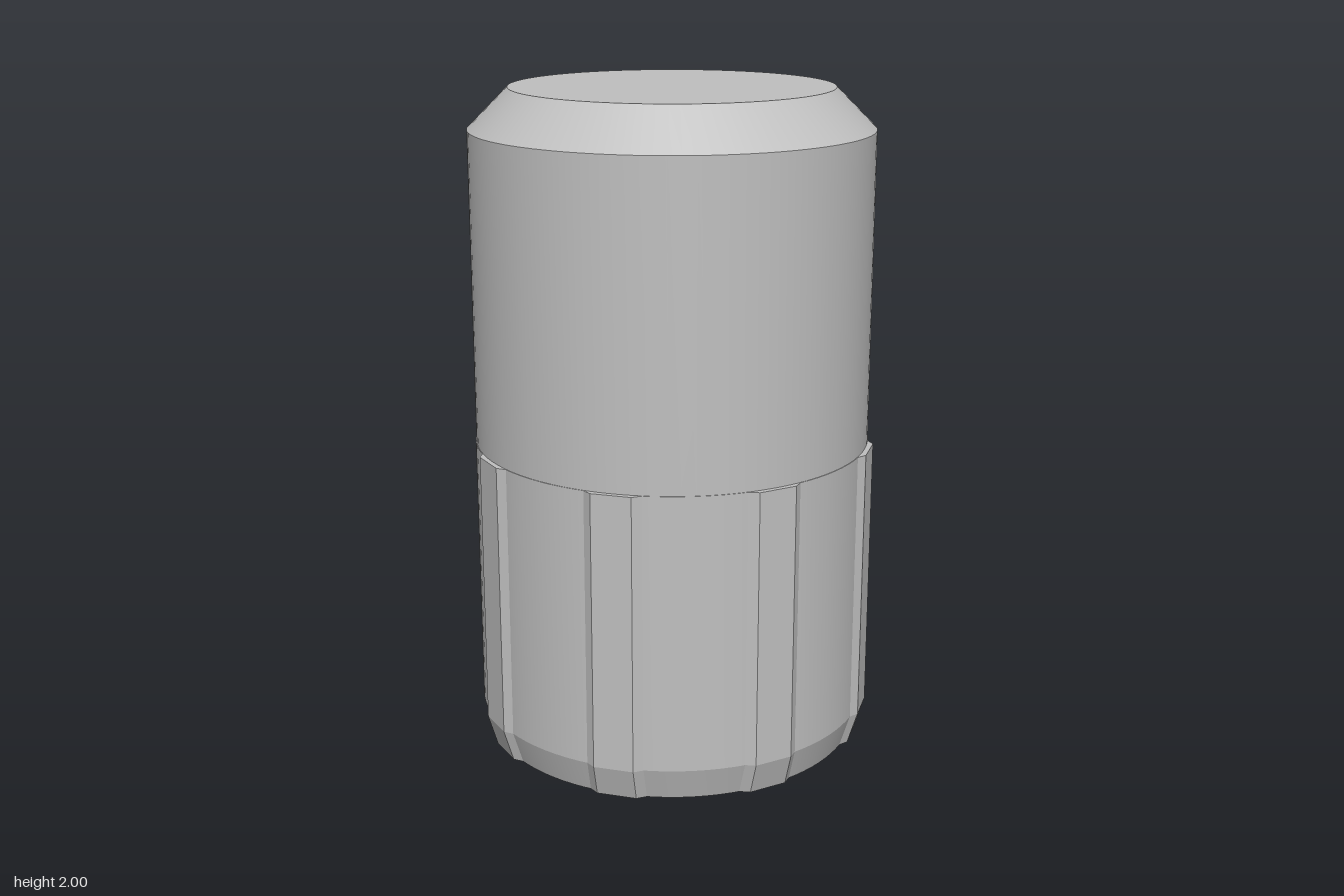
import * as THREE from 'three';
import { toCreasedNormals } from 'three/addons/utils/BufferGeometryUtils.js';

const grey = new THREE.MeshStandardMaterial({ color: 0xc0c0c0 });
grey.name = 'plain grey';

// One grip rib: a bevelled bar whose foot tapers inward
function ribGeometry() {
  const geo = new THREE.BoxGeometry(1, 1, 1, 1, 2, 1);
  const p = geo.attributes.position;
  for (let i = 0; i < p.count; i++) {
    const y = p.getY(i) < -0.1 ? 0 : p.getY(i) > 0.1 ? 0.94 : 0.1;
    const inset = y === 0 ? 0.03 : 0;
    const outer = p.getZ(i) > 0;
    const halfWidth = outer ? 0.06 : 0.1;
    p.setXYZ(i, Math.sign(p.getX(i)) * halfWidth, y, (outer ? 0.615 : 0.585) - inset);
  }
  const flat = geo.toNonIndexed();
  flat.computeVertexNormals();
  return flat;
}

export function createModel() {
  const model = new THREE.Group();
  model.name = 'ribbedPlug';

  // Round body: tapered foot, slight grip step, chamfered top
  const profile = [
    [0, 0], [0.572, 0], [0.602, 0.1], [0.602, 0.94], [0.6, 0.94],
    [0.6, 1.88], [0.48, 2], [0, 2],
  ].map(([r, y]) => new THREE.Vector2(r, y));
  const body = new THREE.Mesh(
    toCreasedNormals(new THREE.LatheGeometry(profile, 96), 0.25), grey);
  body.name = 'body';
  model.add(body);

  // Eight ribs around the lower half
  const ribs = new THREE.Group();
  ribs.name = 'gripRibs';
  const geo = ribGeometry();
  for (let i = 0; i < 8; i++) {
    const rib = new THREE.Mesh(geo, grey);
    rib.name = 'gripRib' + (i + 1);
    rib.rotation.y = (i * Math.PI) / 4;
    ribs.add(rib);
  }
  model.add(ribs);
  return model;
}
